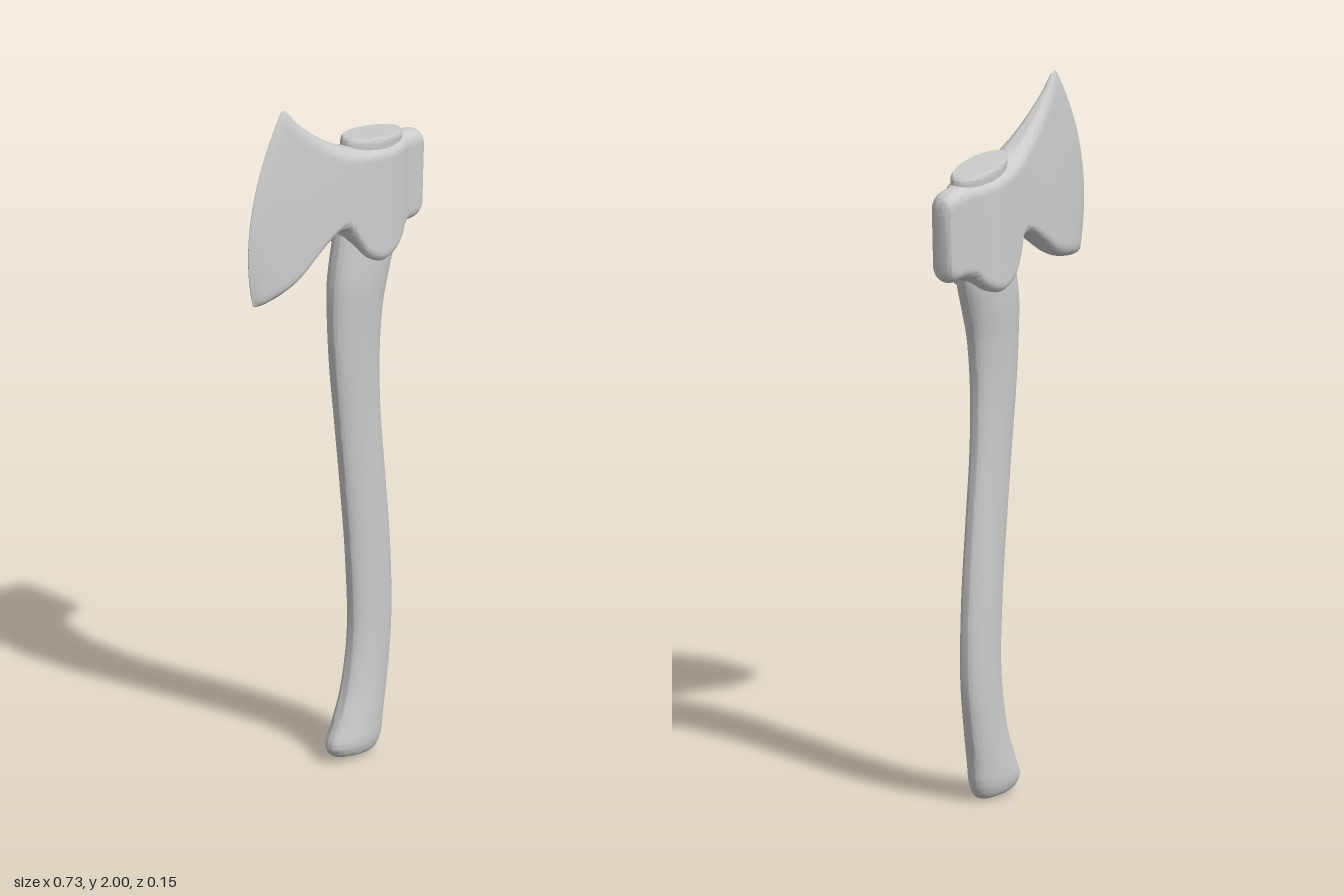
import * as THREE from 'three';
import { toCreasedNormals } from 'three/addons/utils/BufferGeometryUtils.js';

const SIDE = 30; // samples across each face of a section

// Smooth curve through [x, y, halfThickness] rows
const curve = rows => new THREE.CatmullRomCurve3(rows.map(r => new THREE.Vector3(...r)));

// Closed sections spanning from curve a to curve b; round(v, span) scales the
// thickness across a section, bow(t) bends the section along x.
function loft(rowsA, rowsB, steps, round, bow = () => 0) {
  const a = curve(rowsA), b = curve(rowsB);
  const pos = [], index = [], ring = SIDE * 2;
  for (let i = 0; i <= steps; i++) {
    const t = i / steps, p = a.getPoint(t), q = b.getPoint(t);
    const span = Math.hypot(q.x - p.x, q.y - p.y);
    for (let j = 0; j < ring; j++) {
      const v = (1 - Math.cos(Math.PI * j / SIDE)) / 2;
      const half = THREE.MathUtils.lerp(p.z, q.z, v) * round(v, span);
      pos.push(
        THREE.MathUtils.lerp(p.x, q.x, v) + bow(t) * 4 * v * (1 - v),
        THREE.MathUtils.lerp(p.y, q.y, v),
        j <= SIDE ? half : -half);
    }
  }
  for (let i = 0; i < steps; i++) {
    for (let j = 0; j < ring; j++) {
      const k = (j + 1) % ring, r = i * ring, s = r + ring;
      index.push(r + j, s + j, s + k, r + j, s + k, r + k);
    }
  }
  // End caps: strips joining the two faces
  for (let j = 0; j < SIDE; j++) {
    const m = (ring - j) % ring, n = ring - j - 1, e = steps * ring;
    index.push(j, j + 1, n, j, n, m);
    index.push(e + j, e + n, e + j + 1, e + j, e + m, e + n);
  }
  const geo = new THREE.BufferGeometry();
  geo.setAttribute('position', new THREE.Float32BufferAttribute(pos, 3));
  geo.setIndex(index);
  return toCreasedNormals(geo, 0.75);
}

// Oval section
const oval = v => Math.sqrt(Math.max(0, 1 - (2 * v - 1) ** 2));

// Flat faces with rounded upper and lower edges
const slab = (v, span) => {
  const d = Math.min(1, Math.min(v, 1 - v) * span / 0.035);
  return Math.sqrt(Math.max(0, 1 - (1 - d) ** 2));
};

export function createModel() {
  const model = new THREE.Group();
  const material = new THREE.MeshStandardMaterial({ color: 0xcccccc });
  const add = (name, geo) => {
    const mesh = new THREE.Mesh(geo, material);
    mesh.name = name;
    model.add(mesh);
  };

  // Curved handle, from the foot up to the oval end showing in the eye
  const handleBack = [
    [0.14, 0.005, 0.022], [0.165, 0.015, 0.04], [0.185, 0.05, 0.05], [0.195, 0.11, 0.049],
    [0.211, 0.2, 0.045], [0.232, 0.36, 0.042], [0.229, 0.58, 0.041], [0.208, 0.8, 0.041],
    [0.187, 1.0, 0.042], [0.182, 1.17, 0.046], [0.194, 1.32, 0.053], [0.217, 1.41, 0.059],
    [0.244, 1.5, 0.06], [0.255, 1.62, 0.054], [0.274, 1.77, 0.054], [0.275, 1.797, 0.055], [0.269, 1.805, 0.051],
  ];
  const handleFront = [
    [0.02, 0.014, 0.022], [-0.005, 0.024, 0.04], [-0.019, 0.05, 0.05], [0.005, 0.105, 0.049],
    [0.043, 0.2, 0.045], [0.07, 0.36, 0.042], [0.062, 0.58, 0.041], [0.039, 0.8, 0.041],
    [0.015, 1.0, 0.042], [-0.005, 1.17, 0.046], [-0.012, 1.32, 0.053], [-0.01, 1.41, 0.059],
    [0.005, 1.5, 0.06], [0.03, 1.62, 0.054], [0.046, 1.78, 0.054], [0.047, 1.827, 0.055], [0.053, 1.835, 0.051],
  ];
  add('handle', loft(handleBack, handleFront, 96, oval));

  // Axe head, from the cutting edge through the eye to the poll
  const headBottom = [
    [-0.345, 1.458, 0.001], [-0.325, 1.453, 0.013], [-0.27, 1.457, 0.026], [-0.19, 1.48, 0.038],
    [-0.1, 1.54, 0.046], [-0.04, 1.575, 0.052], [0.005, 1.575, 0.056], [0.035, 1.53, 0.064],
    [0.075, 1.475, 0.072], [0.14, 1.449, 0.075], [0.205, 1.472, 0.068], [0.25, 1.513, 0.051],
    [0.28, 1.52, 0.04], [0.325, 1.522, 0.036], [0.343, 1.535, 0.03], [0.349, 1.55, 0.018],
  ];
  const headTop = [
    [-0.222, 2.0, 0.001], [-0.205, 1.993, 0.01], [-0.165, 1.95, 0.02], [-0.095, 1.893, 0.031],
    [-0.02, 1.845, 0.043], [0.03, 1.82, 0.052], [0.05, 1.814, 0.055], [0.08, 1.809, 0.06],
    [0.11, 1.806, 0.065], [0.16, 1.8, 0.067], [0.21, 1.796, 0.062], [0.25, 1.791, 0.05],
    [0.275, 1.787, 0.04], [0.33, 1.78, 0.036], [0.352, 1.768, 0.03], [0.361, 1.745, 0.018],
  ];
  const edgeBow = t => -0.068 * Math.max(0, 1 - t * 3) ** 1.3;
  add('axeHead', loft(headBottom, headTop, 90, slab, edgeBow));

  return model;
}
